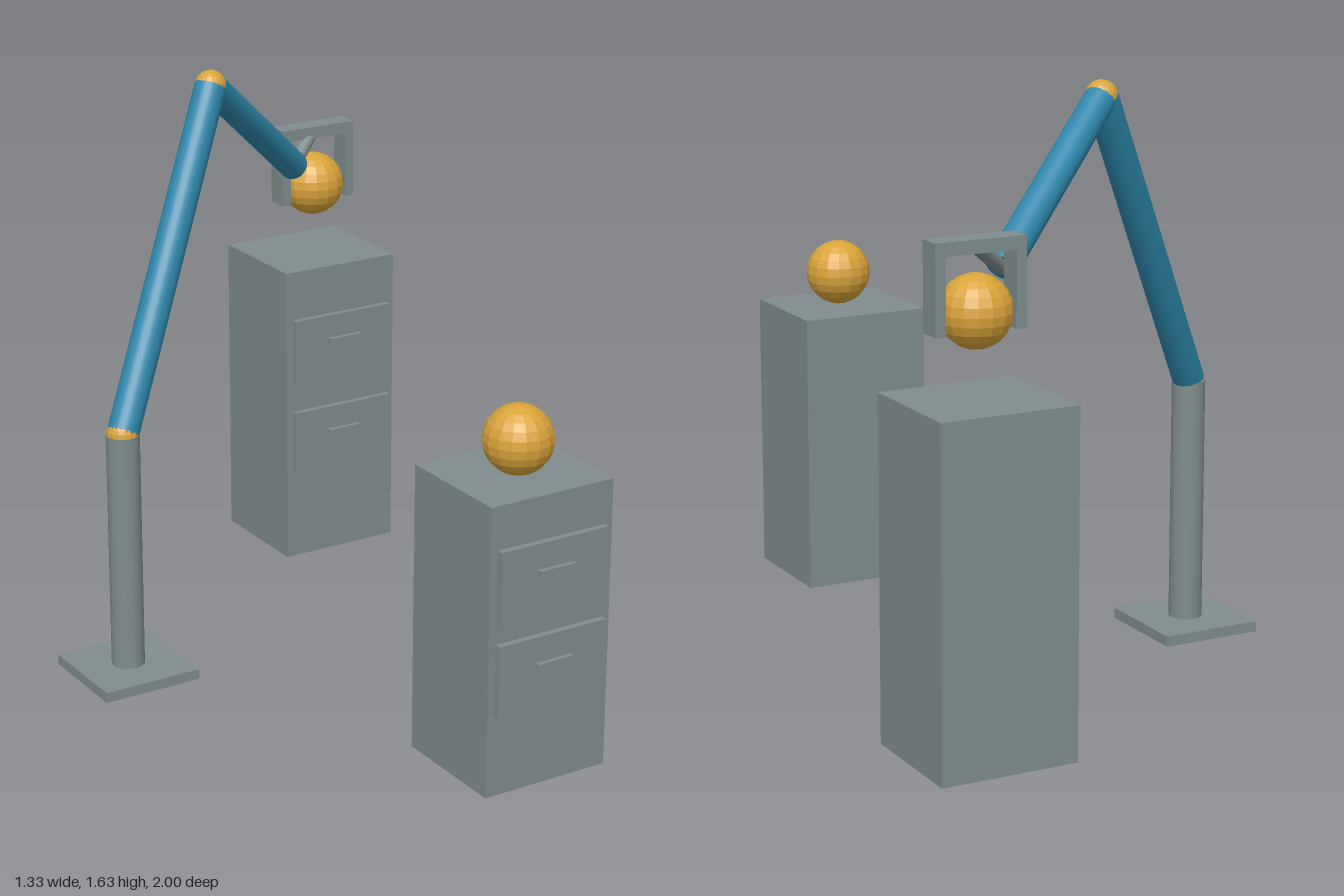
import * as THREE from 'three';

const mat = (name, color, flatShading = false) => {
  const m = new THREE.MeshStandardMaterial({ color, flatShading });
  m.name = name;
  return m;
};

export function createModel() {
  const grey = mat('steel grey', 0x7f8c8d);
  const blue = mat('arm blue', 0x2e86ab);
  const amber = mat('amber', 0xd9a43a, true);

  const model = new THREE.Group();
  model.name = 'robotArmWithCabinets';

  const add = (parent, name, geometry, material) => {
    const mesh = new THREE.Mesh(geometry, material);
    mesh.name = name;
    parent.add(mesh);
    return mesh;
  };

  // Box given by its lower and upper limits
  const box = (parent, name, x0, x1, y0, y1, z0, z1) =>
    add(parent, name, new THREE.BoxGeometry(x1 - x0, y1 - y0, z1 - z0), grey)
      .position.set((x0 + x1) / 2, (y0 + y1) / 2, (z0 + z1) / 2);

  const ball = (parent, name, centre, r) =>
    add(parent, name, new THREE.SphereGeometry(r, 16, 12), amber).position.copy(centre);

  // Cylinder running from point a to point b
  const rod = (parent, name, a, b, r, material) => {
    const d = b.clone().sub(a);
    const mesh = add(parent, name, new THREE.CylinderGeometry(r, r, d.length(), 24), material);
    mesh.position.copy(a).add(b).multiplyScalar(0.5);
    mesh.quaternion.setFromUnitVectors(new THREE.Vector3(0, 1, 0), d.normalize());
  };

  // Filing cabinet with two drawers; drawerYs are the drawer centres
  const cabinet = (name, x, height, z0, drawerYs) => {
    const g = new THREE.Group();
    g.name = name;
    model.add(g);
    const z1 = z0 + 0.348;
    box(g, 'body', x - 0.19, x + 0.19, 0, height, z0, z1);
    for (const y of drawerYs) {
      box(g, 'drawer', x - 0.168, x + 0.168, y - 0.102, y + 0.102, z1, z1 + 0.019);
      box(g, 'handle', x - 0.056, x + 0.056, y + 0.015, y + 0.031, z1 + 0.019, z1 + 0.034);
    }
  };
  cabinet('frontCabinet', 0.1, 0.815, 0.618, [0.592, 0.331]);
  cabinet('backCabinet', 0.475, 0.922, -1, [0.67, 0.375]);

  // Arm joints
  const foot = new THREE.Vector3(-0.52, 0.03, -0.19);
  const shoulder = new THREE.Vector3(-0.52, 0.722, -0.19);
  const elbow = new THREE.Vector3(-0.07, 1.587, -0.47);
  const wrist = new THREE.Vector3(0.365, 1.225, -0.74);
  const hand = new THREE.Vector3(0.475, 1.305, -0.81);

  const arm = new THREE.Group();
  arm.name = 'robotArm';
  model.add(arm);
  box(arm, 'basePlate', -0.667, -0.372, 0, 0.03, -0.338, -0.043);
  rod(arm, 'post', foot, shoulder, 0.047, grey);
  ball(arm, 'shoulderJoint', shoulder, 0.046);
  rod(arm, 'upperArm', shoulder, elbow, 0.045, blue);
  ball(arm, 'elbowJoint', elbow, 0.045);
  rod(arm, 'forearm', elbow, wrist, 0.043, blue);
  rod(arm, 'wristRod', wrist, hand, 0.02, grey);

  // Gripper bracket
  const gripper = new THREE.Group();
  gripper.name = 'gripper';
  arm.add(gripper);
  box(gripper, 'crossbar', 0.35, 0.6, 1.288, 1.323, -0.845, -0.777);
  for (const side of [-1, 1]) {
    const x = 0.475 + side * 0.111;
    box(gripper, 'finger', x - 0.014, x + 0.014, 1.09, 1.288, -0.845, -0.777);
  }

  // Balls: one gripped, one resting on the front cabinet
  ball(model, 'heldBall', new THREE.Vector3(0.473, 1.139, -0.81), 0.095);
  ball(model, 'restingBall', new THREE.Vector3(0.101, 0.91, 0.808), 0.095);

  return model;
}
